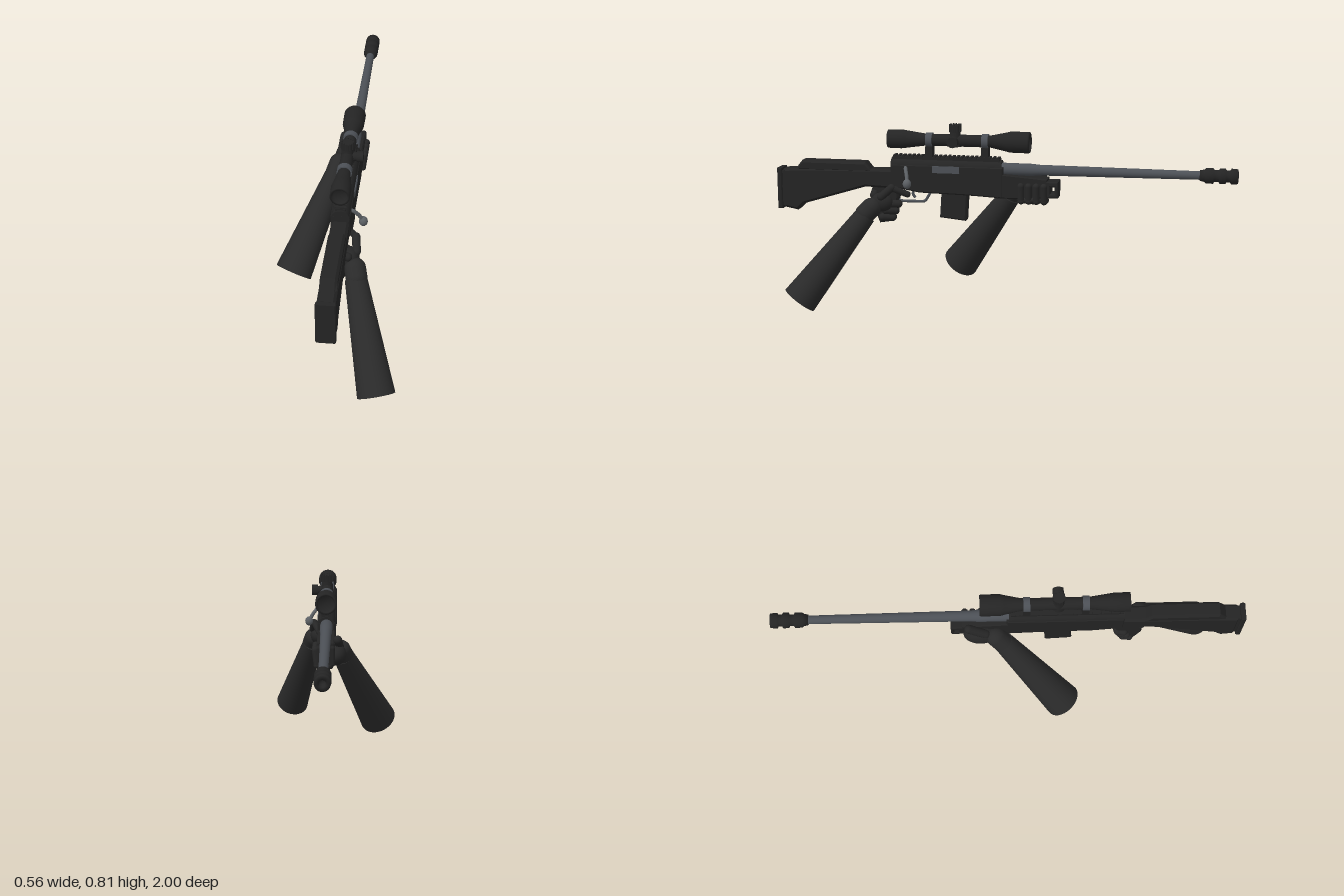
import * as THREE from 'three';

const CX = 0.022; // centre plane of the rifle
const V = (x, y, z) => new THREE.Vector3(x, y, z);
const mat = (name, color) => Object.assign(new THREE.MeshStandardMaterial({ color }), { name });

export function createModel() {
  const root = new THREE.Group();
  const gun = mat('gun black', 0x242424);
  const sleeve = mat('sleeve charcoal', 0x2a2a2a);
  const glove = mat('glove black', 0x262626);
  const steel = mat('barrel steel', 0x4c5056);
  const bright = mat('bolt steel', 0x5c6064);

  const add = (name, geo, m, parent = root) => {
    const mesh = new THREE.Mesh(geo, m);
    mesh.name = name;
    parent.add(mesh);
    return mesh;
  };
  const group = (name) => {
    const g = new THREE.Group();
    g.name = name;
    root.add(g);
    return g;
  };
  // side profile of [z, y] points, extruded across x
  const side = (name, pts, width, bevel = 0.006, hole) => {
    const shape = new THREE.Shape(pts.map(p => new THREE.Vector2(...p)));
    if (hole) shape.holes.push(new THREE.Path(hole.map(p => new THREE.Vector2(...p))));
    const depth = width - 2 * bevel;
    const geo = new THREE.ExtrudeGeometry(shape, {
      depth, bevelEnabled: bevel > 0, bevelSize: bevel, bevelOffset: -bevel,
      bevelThickness: bevel, bevelSegments: 1,
    });
    geo.translate(0, 0, -depth / 2).rotateY(-Math.PI / 2).translate(CX, 0, 0);
    return add(name, geo, gun);
  };
  const box = (name, w, h, d, x, y, z, m = gun, parent = root) =>
    add(name, new THREE.BoxGeometry(w, h, d).translate(x, y, z), m, parent);
  // round part along z, from [z, radius] points running towards -z
  const turned = (name, pts, y, m) => {
    const geo = new THREE.LatheGeometry(pts.map(([z, r]) => new THREE.Vector2(r, -z)), 24);
    return add(name, geo.rotateX(-Math.PI / 2).translate(CX, y, 0), m);
  };
  const aim = (mesh, a, b) => {
    mesh.position.copy(a).add(b).multiplyScalar(0.5);
    mesh.quaternion.setFromUnitVectors(V(0, 1, 0), b.clone().sub(a).normalize());
    return mesh;
  };
  const cone = (name, a, b, ra, rb, m, parent) =>
    aim(add(name, new THREE.CylinderGeometry(rb, ra, a.distanceTo(b), 32), m, parent), a, b);
  const capsule = (name, a, b, r, m, parent) =>
    aim(add(name, new THREE.CapsuleGeometry(r, a.distanceTo(b), 6, 14), m, parent), a, b);
  const ball = (name, p, rx, ry, rz, m, parent) => {
    const s = add(name, new THREE.SphereGeometry(1, 20, 14), m, parent);
    s.position.copy(p);
    s.scale.set(rx, ry, rz);
    return s;
  };
  const tube = (name, pts, r, m) =>
    add(name, new THREE.TubeGeometry(new THREE.CatmullRomCurve3(pts, false, 'catmullrom', 0.2), 32, r, 10), m);

  // stock, cheek rest and butt pad
  side('stock', [[0.972, 0.602], [0.972, 0.432], [0.91, 0.42], [0.88, 0.45], [0.6, 0.535],
    [0.46, 0.53], [0.46, 0.615], [0.9, 0.608]], 0.072, 0.01);
  side('cheekRest', [[0.92, 0.6], [0.885, 0.643], [0.6, 0.643], [0.565, 0.6]], 0.068, 0.01);
  side('buttPad', [[0.999, 0.606], [0.999, 0.425], [0.978, 0.425], [0.978, 0.606]], 0.079, 0.004);
  box('buttPadSpacer', 0.06, 0.155, 0.02, CX, 0.517, 0.972);

  // receiver, forend with front slot, and rounded top
  side('receiver', [[0.485, 0.64], [0.485, 0.54], [0.36, 0.518], [0.12, 0.512], [-0.01, 0.505],
    [-0.01, 0.64]], 0.078);
  const cover = new THREE.CylinderGeometry(0.037, 0.037, 0.485, 20).rotateX(Math.PI / 2);
  add('receiverTop', cover.translate(CX, 0.629, 0.242), gun);
  side('forend', [[0.02, 0.612], [0.02, 0.505], [-0.06, 0.505], [-0.247, 0.515], [-0.247, 0.585],
    [-0.2, 0.585], [-0.2, 0.595]], 0.076, 0.005,
  [[-0.213, 0.532], [-0.213, 0.562], [-0.232, 0.562], [-0.232, 0.532]]);
  box('ejectionPort', 0.004, 0.03, 0.12, CX + 0.039, 0.622, 0.24, steel);

  // magazine
  side('magazine', [[0.262, 0.53], [0.27, 0.41], [0.155, 0.398], [0.147, 0.53]], 0.056);

  // pistol grip, trigger and guard
  side('grip', [[0.57, 0.55], [0.45, 0.55], [0.455, 0.49], [0.48, 0.385], [0.54, 0.375],
    [0.57, 0.45]], 0.052, 0.008);
  tube('triggerGuard', [V(CX, 0.53, 0.31), V(CX, 0.5, 0.325), V(CX, 0.474, 0.345),
    V(CX, 0.472, 0.44), V(CX, 0.48, 0.47)], 0.006, steel);
  tube('trigger', [V(CX, 0.53, 0.39), V(CX, 0.505, 0.395), V(CX, 0.488, 0.385)], 0.006, steel);

  // bolt with handle and knob
  tube('boltHandle', [V(0.045, 0.63, 0.42), V(0.068, 0.622, 0.415), V(0.09, 0.595, 0.405),
    V(0.106, 0.565, 0.4)], 0.008, bright);
  ball('boltKnob', V(0.107, 0.564, 0.4), 0.018, 0.021, 0.018, bright);

  // barrel and muzzle brake
  turned('barrel', [[0.01, 0], [0.01, 0.027], [-0.13, 0.026], [-0.16, 0.023], [-0.84, 0.018],
    [-0.87, 0.018]], 0.628, steel);
  turned('muzzleBrake', [[-0.84, 0], [-0.84, 0.022], [-0.858, 0.026], [-0.865, 0.032], [-0.895, 0.033],
    [-0.9, 0.025], [-0.918, 0.025], [-0.922, 0.033], [-0.945, 0.033], [-0.95, 0.025], [-0.965, 0.025],
    [-0.97, 0.033], [-0.998, 0.031], [-1, 0.014], [-0.96, 0.012], [-0.96, 0]], 0.628, gun);

  // toothed sight rail
  const rail = group('sightRail');
  box('railBase', 0.042, 0.012, 0.47, CX, 0.666, 0.243, gun, rail);
  for (let i = 0; i < 24; i++) box('railTooth', 0.048, 0.008, 0.011, CX, 0.674, 0.015 + i * 0.0198, gun, rail);

  // scope
  turned('scopeBody', [[0.485, 0], [0.485, 0.026], [0.5, 0.032], [0.5, 0.04], [0.44, 0.041], [0.42, 0.038],
    [0.335, 0.026], [0.05, 0.026], [-0.02, 0.041], [-0.035, 0.045], [-0.115, 0.046], [-0.121, 0.043],
    [-0.121, 0.036], [-0.1, 0.033], [-0.1, 0]], 0.745, gun);
  for (const z of [0.318, 0.073]) {
    const ring = new THREE.CylinderGeometry(0.031, 0.031, 0.028, 24).rotateX(Math.PI / 2);
    add('scopeRing', ring.translate(CX, 0.745, z), steel);
    box('scopeMount', 0.046, 0.05, 0.03, CX, 0.694, z);
  }
  const turrets = group('scopeTurrets');
  cone('turretHub', V(CX, 0.72, 0.205), V(CX, 0.785, 0.205), 0.03, 0.022, gun, turrets);
  cone('topTurret', V(CX, 0.782, 0.205), V(CX, 0.812, 0.205), 0.025, 0.025, gun, turrets);
  cone('sideTurretNeck', V(CX, 0.745, 0.205), V(0.065, 0.745, 0.205), 0.02, 0.018, gun, turrets);
  cone('sideTurret', V(0.062, 0.745, 0.205), V(0.088, 0.745, 0.205), 0.023, 0.023, gun, turrets);
  for (let i = 0; i < 12; i++) {
    const a = i * Math.PI / 6;
    box('turretKnurl', 0.006, 0.032, 0.006, CX + Math.cos(a) * 0.024, 0.8, 0.205 + Math.sin(a) * 0.024, gun, turrets);
  }

  // rear arm, gripping the pistol grip
  const rear = group('rearArm');
  cone('rearSleeve', V(0.205, 0.052, 0.863), V(0.096, 0.418, 0.59), 0.077, 0.045, sleeve, rear);
  capsule('rearCuff', V(0.098, 0.425, 0.59), V(0.09, 0.45, 0.565), 0.044, sleeve, rear);
  ball('rearPalm', V(0.068, 0.472, 0.525), 0.036, 0.042, 0.05, glove, rear);
  for (let i = 0; i < 3; i++) {
    const y = 0.465 - i * 0.03, z = 0.455 + i * 0.013;
    capsule('rearFinger', V(0.062, y, z + 0.04), V(0.045, y - 0.003, z), 0.017, glove, rear);
    capsule('rearFingerWrap', V(0.045, y - 0.003, z), V(0.0, y - 0.005, z + 0.012), 0.017, glove, rear);
    capsule('rearFingertip', V(0.0, y - 0.005, z + 0.012), V(-0.005, y - 0.005, z + 0.04), 0.015, glove, rear);
  }
  capsule('rearKnuckle', V(0.092, 0.5, 0.52), V(0.085, 0.54, 0.475), 0.017, glove, rear);
  capsule('rearIndexFinger', V(0.085, 0.54, 0.475), V(0.062, 0.51, 0.41), 0.014, glove, rear);
  capsule('rearThumb', V(0.06, 0.5, 0.56), V(0.01, 0.515, 0.565), 0.018, glove, rear);

  // front arm, supporting the forend
  const front = group('frontArm');
  cone('frontSleeve', V(-0.208, 0.15, 0.233), V(-0.052, 0.5, -0.025), 0.08, 0.045, sleeve, front);
  capsule('frontCuff', V(-0.055, 0.5, -0.025), V(-0.04, 0.535, -0.055), 0.043, sleeve, front);
  ball('frontPalm', V(-0.02, 0.53, -0.12), 0.045, 0.045, 0.075, glove, front);
  ball('frontPalmUnder', V(0.02, 0.502, -0.13), 0.05, 0.022, 0.07, glove, front);
  capsule('frontThumb', V(-0.035, 0.56, -0.1), V(-0.028, 0.603, -0.17), 0.019, glove, front);
  for (let i = 0; i < 4; i++) {
    const z = -0.088 - i * 0.033;
    capsule('frontFinger', V(0.01, 0.495, z), V(0.058, 0.498, z), 0.015, glove, front);
    capsule('frontFingertip', V(0.058, 0.498, z), V(0.066, 0.563, z), 0.0145, glove, front);
  }
  return root;
}
